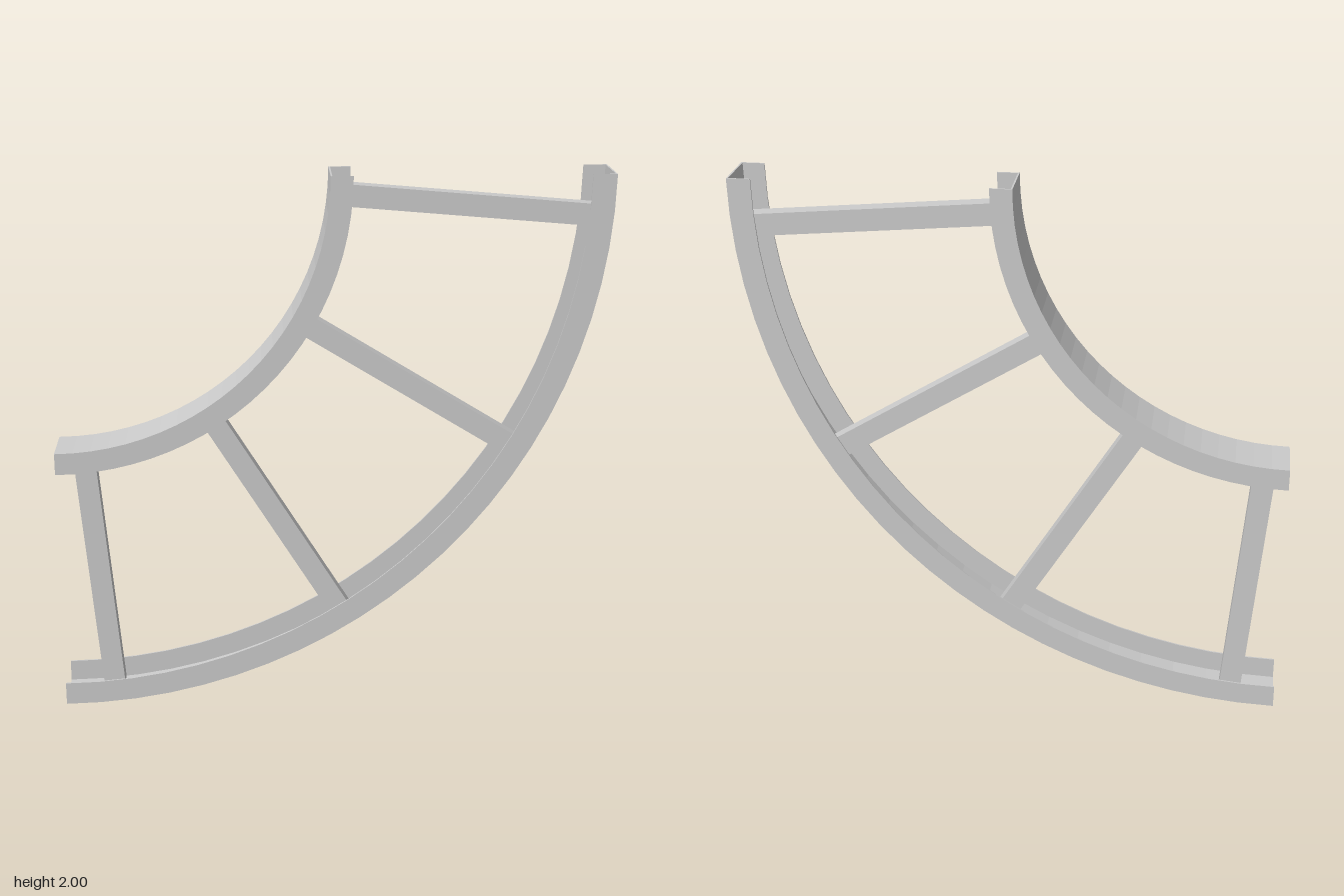
import * as THREE from 'three';

const HALF = 0.1;       // half depth of the rails
const WALL = 0.006;     // sheet thickness
const INNER = 1, OUTER = 2;

export function createModel() {
  const model = new THREE.Group();
  model.name = 'curvedLadderSection';
  const material = new THREE.MeshStandardMaterial({
    color: 0xcccccc, flatShading: true, side: THREE.DoubleSide,
  });

  // The quarter bend turns about this point
  const bend = new THREE.Group();
  bend.name = 'bend';
  bend.position.set(-1, 2, 0);
  model.add(bend);

  const add = (parent, name, geometry) => {
    const mesh = new THREE.Mesh(geometry, material);
    mesh.name = name;
    parent.add(mesh);
    return mesh;
  };

  // C-channel rail swept through 90 degrees: web at radius r, flanges reaching by `lip`
  function addRail(name, r, lip) {
    const rail = new THREE.Group();
    rail.name = name;
    bend.add(rail);
    const wall = Math.sign(lip) * WALL;
    const section = [
      [r, -HALF], [r + lip, -HALF], [r + lip, -HALF + WALL], [r + wall, -HALF + WALL],
      [r + wall, HALF - WALL], [r + lip, HALF - WALL], [r + lip, HALF], [r, HALF],
    ].map(([x, y]) => new THREE.Vector2(x, y));
    if (lip < 0) section.reverse();   // keep the outline counter-clockwise

    const sweep = new THREE.LatheGeometry([...section, section[0].clone()], 24, 0, Math.PI / 2);
    add(rail, 'channel', sweep.rotateX(Math.PI / 2));

    // Cut ends
    const cap = new THREE.ShapeGeometry(new THREE.Shape(section)).rotateX(Math.PI / 2);
    add(rail, 'upperEnd', cap);
    add(rail, 'lowerEnd', cap.clone().rotateZ(-Math.PI / 2));
  }

  addRail('innerRail', INNER, 0.08);
  addRail('outerRail', OUTER, -0.085);

  // Rungs fit between the webs, against the back flanges
  const zBack = -HALF + WALL, zFront = -0.035;
  const length = OUTER - INNER - 2 * WALL;
  const rungGeometry = new THREE.BoxGeometry(length, 0.08, zFront - zBack)
    .translate((INNER + OUTER) / 2, 0, (zFront + zBack) / 2);
  for (let i = 0; i < 4; i++) {
    const rung = add(bend, `rung${i + 1}`, rungGeometry);
    rung.rotation.z = -THREE.MathUtils.degToRad(5 + i * 80 / 3);
  }

  return model;
}
